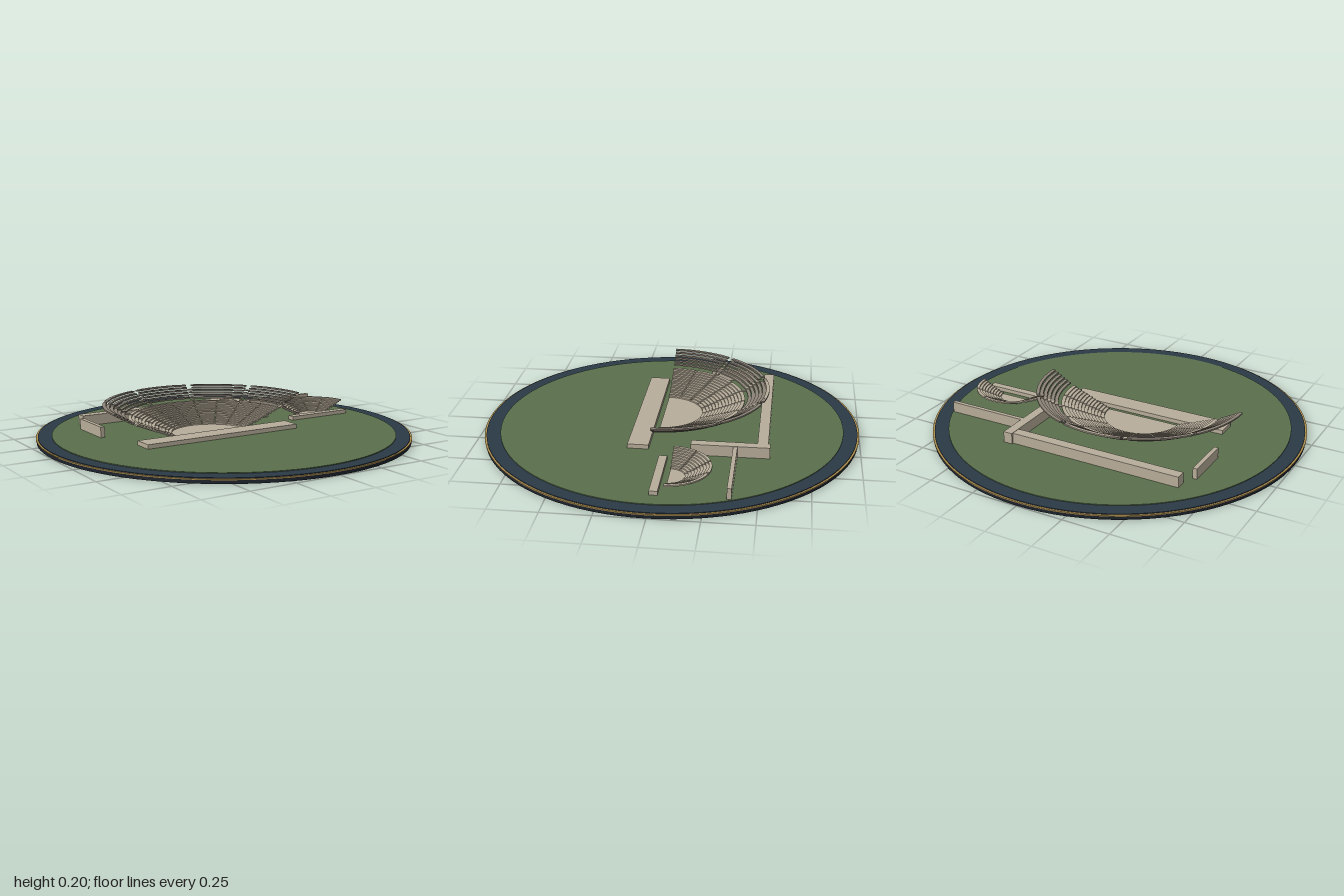
import * as THREE from 'three';
import { mergeGeometries } from 'three/addons/utils/BufferGeometryUtils.js';

const mat = (name, color) => {
  const m = new THREE.MeshStandardMaterial({ color });
  m.name = name;
  return m;
};
const DEG = Math.PI / 180;

// Half-ring block: radii r0..r1, angles a0..a1 in degrees (90 = back), bottom y, height h
function sector(r0, r1, a0, a1, y, h) {
  const s = new THREE.Shape();
  s.absarc(0, 0, r1, a0 * DEG, a1 * DEG, false);
  s.absarc(0, 0, r0, a1 * DEG, a0 * DEG, true);
  s.closePath();
  const g = new THREE.ExtrudeGeometry(s, {
    depth: h, bevelEnabled: false, curveSegments: Math.max(1, Math.round((a1 - a0) / 4)),
  });
  return g.rotateX(-Math.PI / 2).translate(0, y, 0);
}

// Rows of seating rising outwards, cut into equal wedges with a gap (in units) at each aisle
function seating({ rows, r, pitch, y, rise, thick, depth, wedges, gap }) {
  const parts = [];
  for (let i = 0; i < rows; i++) {
    const ri = r + i * pitch, half = gap / 2 / ri / DEG, w = 180 / wedges;
    for (let k = 0; k < wedges; k++) {
      const a0 = k * w + (k ? half : 0), a1 = (k + 1) * w - (k < wedges - 1 ? half : 0);
      parts.push(sector(ri, ri + depth, a0, a1, y + i * rise - thick, thick));
    }
  }
  return mergeGeometries(parts);
}

// Stair blocks filling the aisles between wedges
function stairs({ rows, r, pitch, y, rise, thick, wedges, width }) {
  const parts = [];
  for (let k = 1; k < wedges; k++) {
    for (let i = 0; i < rows; i++) {
      const g = new THREE.BoxGeometry(pitch * 1.05, thick, width);
      g.translate(r + (i + 0.5) * pitch, y + i * rise - thick / 2, 0);
      parts.push(g.rotateY((k * 180 / wedges) * DEG));
    }
  }
  return mergeGeometries(parts);
}

export function createModel() {
  const model = new THREE.Group();
  const stone = mat('pale stone', 0xb8ad9a);
  const oldStone = mat('weathered stone', 0x8d8478);
  const grass = mat('grass green', 0x5a704d);
  const slate = mat('slate blue', 0x2b3a47);
  const dark = mat('dark base', 0x1c222b);
  const gold = mat('gold trim', 0xb0904f);

  const add = (name, geometry, material, parent = model) => {
    const m = new THREE.Mesh(geometry, material);
    m.name = name;
    parent.add(m);
    return m;
  };
  const disc = (name, r, y0, y1, material) =>
    add(name, new THREE.CylinderGeometry(r, r, y1 - y0, 96).translate(0, (y0 + y1) / 2, 0), material);
  const block = (name, x0, x1, z0, z1, top) =>
    add(name, new THREE.BoxGeometry(x1 - x0, top - 0.028, z1 - z0)
      .translate((x0 + x1) / 2, (top + 0.028) / 2, (z0 + z1) / 2), stone);

  // Round display base
  disc('baseDisc', 0.997, 0, 0.018, dark);
  disc('goldTrim', 1.0, 0.018, 0.023, gold);
  disc('slateRim', 0.99, 0.023, 0.027, slate);
  disc('lawn', 0.917, 0.027, 0.031, grass);

  // Large theatre
  const theatre = new THREE.Group();
  theatre.name = 'largeTheatre';
  theatre.position.set(-0.113, 0, 0.055);
  model.add(theatre);
  add('orchestra', sector(0.001, 0.215, 0, 180, 0.028, 0.008), stone, theatre);
  const lower = { rows: 13, r: 0.21, pitch: 0.0175, y: 0.044, rise: 0.0069, thick: 0.008, wedges: 10 };
  add('lowerSeats', seating({ ...lower, depth: 0.0195, gap: 0.009 }), stone, theatre);
  add('lowerStairs', stairs({ ...lower, y: 0.041, thick: 0.005, width: 0.009 }), stone, theatre);
  const upper = { rows: 6, r: 0.455, pitch: 0.0195, y: 0.142, rise: 0.011, thick: 0.008, wedges: 5 };
  add('upperSeats', seating({ ...upper, depth: 0.0185, gap: 0.03 }), oldStone, theatre);
  add('upperStairs', stairs({ ...upper, rows: 5, r: 0.437, y: 0.134, thick: 0.006, width: 0.022 }), stone, theatre);
  // Coping on the middle wedge
  add('rearCoping', sector(0.556, 0.571, 78, 102, 0.196, 0.002), stone, theatre);

  // Small theatre
  const odeon = new THREE.Group();
  odeon.name = 'smallTheatre';
  odeon.position.set(0.64, 0, -0.06);
  model.add(odeon);
  add('smallOrchestra', sector(0.001, 0.085, 0, 180, 0.028, 0.007), stone, odeon);
  const small = { rows: 9, r: 0.08, pitch: 0.0144, y: 0.042, rise: 0.007, thick: 0.008, wedges: 5 };
  add('smallSeats', seating({ ...small, depth: 0.0155, gap: 0.008 }), stone, odeon);
  add('smallStairs', stairs({ ...small, y: 0.039, thick: 0.005, width: 0.008 }), stone, odeon);

  // Stages and colonnade walls
  block('largeStage', -0.567, 0.345, 0.08, 0.19, 0.054);
  block('smallStage', 0.45, 0.83, -0.03, 0.012, 0.052);
  block('rearWall', -0.61, 0.337, -0.53, -0.475, 0.088);
  block('crossWall', 0.335, 0.385, -0.54, -0.14, 0.09);
  block('sideWall', 0.385, 0.83, -0.377, -0.355, 0.088);
  block('endWall', -0.653, -0.63, -0.415, -0.165, 0.088);
  return model;
}
